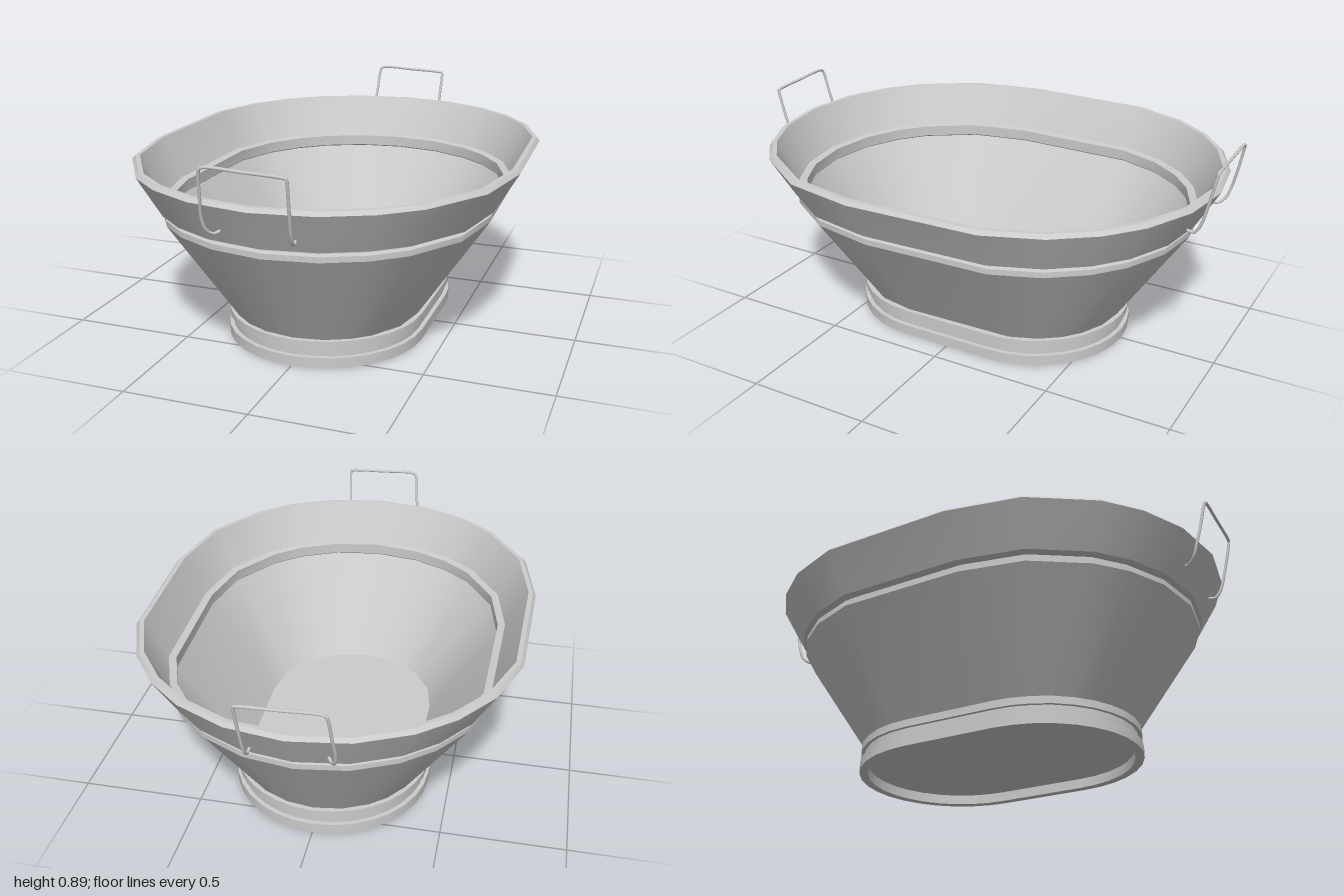
import * as THREE from 'three';

const HALF_STRAIGHT = 0.19; // half length of the straight sides
const material = new THREE.MeshStandardMaterial({ color: 0xcccccc, side: THREE.DoubleSide });

// Quarter angles in degrees, from the straight side towards the end of the oval
const fine = [0, 11.25, 22.5, 33.75, 45, 56.25, 67.5, 78.75, 90];
const coarseFront = [0, 22.5, 44, 57, 72, 90];
const coarseBack = [12, 29.5, 44, 57, 73, 90];

// Directions round the oval: +x, front, -x, back
function outline(front, back) {
  const half = q => [...q, ...q.slice(0, -1).reverse().map(a => 180 - a)];
  const dirs = (q, sign) => half(q).map(a => {
    const t = THREE.MathUtils.degToRad(a);
    return { x: Math.cos(t) * sign, z: Math.sin(t) * sign, c: HALF_STRAIGHT * sign };
  });
  return [...dirs(front, 1), ...dirs(back, -1)];
}

// Sweeps a [radius, height] profile round the oval, with a crease at each profile point
function loft(name, profile, dirs) {
  const positions = [], indices = [], n = dirs.length;
  for (let p = 0; p < profile.length - 1; p++) {
    const base = positions.length / 3;
    for (const [r, y] of [profile[p], profile[p + 1]]) {
      for (const d of dirs) positions.push(r * d.x, y, r * d.z + d.c);
    }
    for (let i = 0; i < n; i++) {
      const j = (i + 1) % n;
      const a = base + i, b = base + j;
      indices.push(a, a + n, b, b, a + n, b + n);
    }
  }
  const geometry = new THREE.BufferGeometry();
  geometry.setAttribute('position', new THREE.Float32BufferAttribute(positions, 3));
  geometry.setIndex(indices);
  geometry.computeVertexNormals();
  const mesh = new THREE.Mesh(geometry, material);
  mesh.name = name;
  return mesh;
}

// Bent wire handle, hooked into the wall at its lower ends
function handle(name, side) {
  const points = [
    [-0.135, 0.63, 0.89], [-0.15, 0.625, 0.91], [-0.165, 0.645, 0.935], [-0.172, 0.69, 0.952],
    [-0.165, 0.77, 0.972], [-0.157, 0.86, 0.99], [-0.152, 0.877, 0.993], [-0.138, 0.885, 0.994],
    [0, 0.882, 0.994], [0.15, 0.876, 0.993], [0.161, 0.873, 0.992], [0.162, 0.86, 0.99],
    [0.157, 0.74, 0.964], [0.152, 0.65, 0.938], [0.149, 0.622, 0.915], [0.147, 0.625, 0.89],
  ].map(([x, y, z]) => new THREE.Vector3(x, y, z * side));
  const curve = new THREE.CatmullRomCurve3(points, false, 'centripetal');
  const mesh = new THREE.Mesh(new THREE.TubeGeometry(curve, 96, 0.006, 8), material);
  mesh.name = name;
  return mesh;
}

export function createModel() {
  const group = new THREE.Group();
  group.name = 'washTub';

  // Stepped foot with a recessed underside
  group.add(loft('foot', [
    [0, 0.04], [0.375, 0.04], [0.375, 0], [0.41, 0], [0.41, 0.043], [0.392, 0.043],
    [0.392, 0.08], [0.406, 0.08], [0.406, 0.11], [0.36, 0.11],
  ], outline(fine, fine)));

  // Flared wall with a groove, chamfered rim and an inner ledge
  group.add(loft('wall', [
    [0.385, 0.105], [0.667, 0.53], [0.667, 0.552], [0.645, 0.556], [0.645, 0.57],
    [0.68, 0.572], [0.773, 0.733], [0.76, 0.748], [0.742, 0.748],
    [0.66, 0.58], [0.63, 0.575], [0.63, 0.53], [0.635, 0.525], [0.36, 0.11],
  ], outline(coarseFront, coarseBack)));

  // Inner floor
  group.add(loft('floor', [[0.364, 0.112], [0, 0.112]], outline(fine, fine)));

  group.add(handle('frontHandle', 1), handle('backHandle', -1));
  return group;
}
